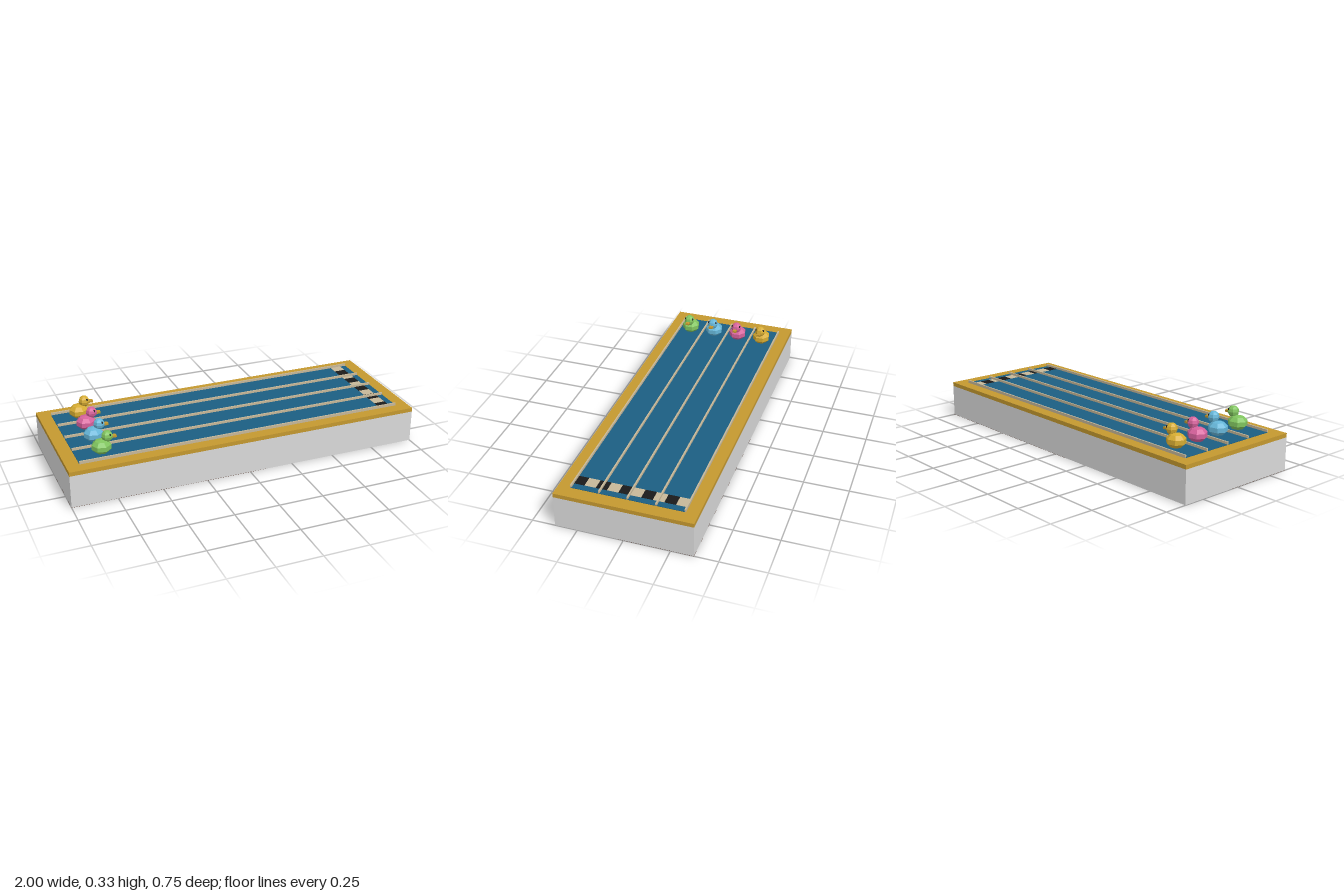
import * as THREE from 'three';

const mat = (name, color) => {
  const m = new THREE.MeshStandardMaterial({ color });
  m.name = name;
  return m;
};

export function createModel() {
  const model = new THREE.Group();
  model.name = 'duckRaceTable';

  const grey = mat('grey', 0xd9d9d9);
  const wood = mat('wood', 0xc4982f);
  const water = mat('waterBlue', 0x1b5e82);
  const tan = mat('tan', 0xc6b798);
  const black = mat('black', 0x1a1a1a);
  const brown = mat('darkBrown', 0x5a3a2e);
  const duckColors = [
    mat('green', 0x80c45e), mat('skyBlue', 0x66b6d8),
    mat('pink', 0xd6629c), mat('yellow', 0xd6ac32),
  ];

  const add = (parent, name, geometry, material, x, y, z) => {
    const mesh = new THREE.Mesh(geometry, material);
    mesh.name = name;
    mesh.position.set(x, y, z);
    parent.add(mesh);
    return mesh;
  };
  const box = (parent, name, w, h, d, material, x, y, z) =>
    add(parent, name, new THREE.BoxGeometry(w, h, d), material, x, y, z);

  // Faceted ball with flat normals
  const ball = (rx, ry, rz, sides, rings) => {
    const g = new THREE.SphereGeometry(1, sides, rings).scale(rx, ry, rz).toNonIndexed();
    g.computeVertexNormals();
    return g;
  };

  // Table: base, wooden top and pool surface
  box(model, 'base', 2, 0.182, 0.746, grey, 0, 0.092, 0);
  box(model, 'woodenTop', 2, 0.023, 0.746, wood, 0, 0.1945, 0);
  box(model, 'water', 1.857, 0.004, 0.61, water, 0, 0.2065, 0);

  // Dark corner panels under the base, at two opposite corners
  const panel = new THREE.Shape([
    new THREE.Vector2(0, 0), new THREE.Vector2(-1.1, 0), new THREE.Vector2(0, 0.41),
  ]);
  const panelGeo = new THREE.ExtrudeGeometry(panel, { depth: 0.001, bevelEnabled: false });
  panelGeo.rotateX(Math.PI / 2);
  for (const s of [-1, 1]) {
    const corner = add(model, 'cornerPanel', panelGeo, brown, s, 0.001, -s * 0.373);
    corner.rotation.y = s > 0 ? 0 : Math.PI;
  }

  // Lane dividers
  const lane = 0.152;
  for (let i = -2; i <= 2; i++) {
    box(model, 'laneDivider', 1.857, 0.016, 0.008, tan, 0, 0.214, i * lane);
  }

  // Chequered finish line
  const tile = 0.061;
  for (let i = 0; i < 10; i++) {
    box(model, 'finishTile', 0.065, 0.002, tile, i % 2 ? black : tan,
      0.86, 0.2085, (i - 4.5) * tile);
  }

  // Racing ducks, facing the finish line
  const bodyGeo = ball(0.056, 0.04, 0.054, 7, 5);
  const headGeo = ball(0.031, 0.031, 0.031, 7, 6);
  const eyeGeo = ball(0.006, 0.007, 0.006, 6, 4);
  duckColors.forEach((color, i) => {
    const duck = new THREE.Group();
    duck.name = 'duck';
    duck.position.set(-0.787, 0, (1.5 - i) * lane);
    add(duck, 'body', bodyGeo, color, 0, 0.245, 0);
    add(duck, 'head', headGeo, color, 0.033, 0.299, 0);
    box(duck, 'bill', 0.03, 0.011, 0.023, wood, 0.067, 0.293, 0);
    for (const s of [-1, 1]) add(duck, 'eye', eyeGeo, black, 0.044, 0.312, s * 0.022);
    model.add(duck);
  });

  return model;
}
